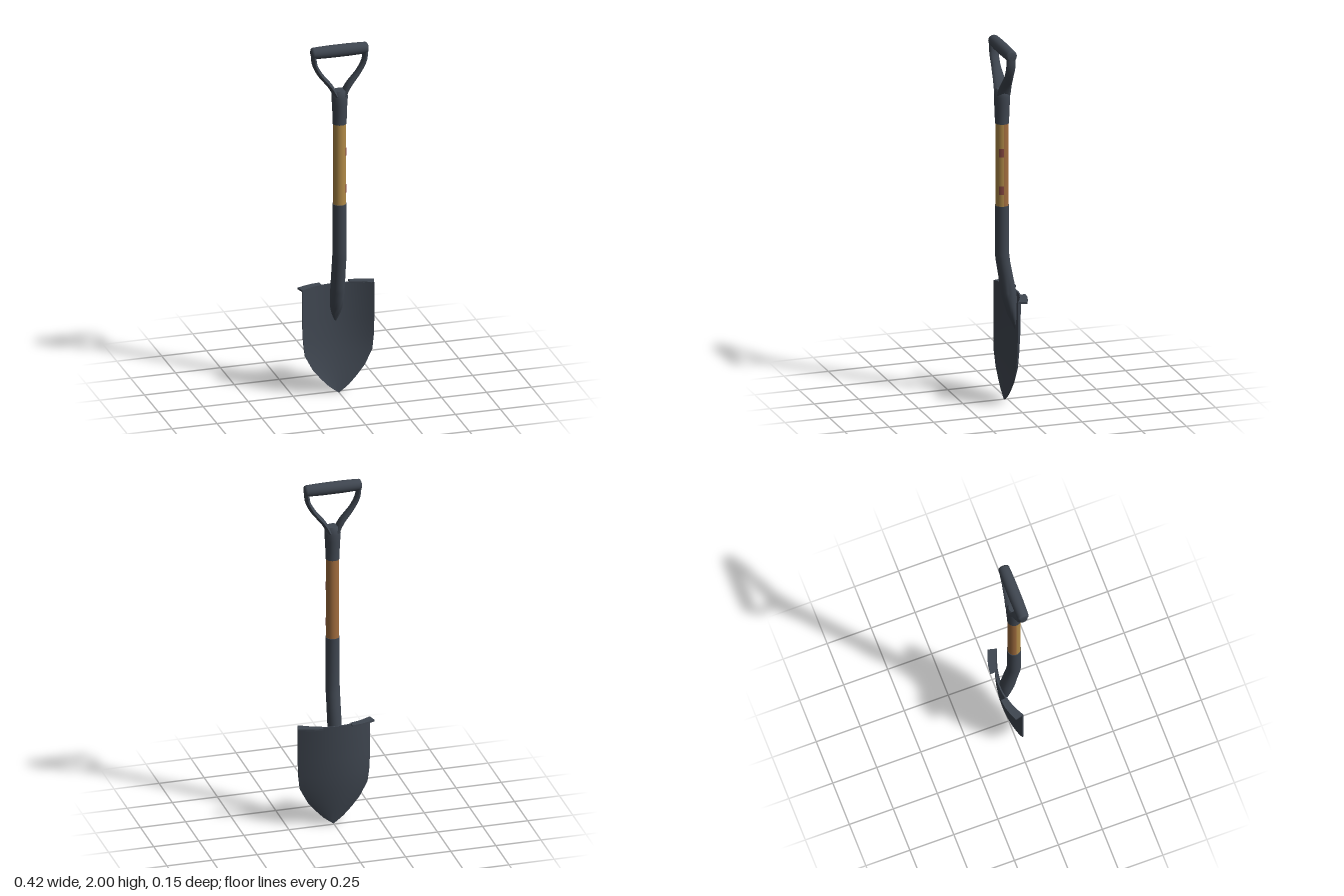
import * as THREE from 'three';
import { toCreasedNormals } from 'three/addons/utils/BufferGeometryUtils.js';

const SHAFT_Z = 0.03;

// Piecewise linear lookup in rows sorted by falling first value
function sample(rows, y) {
  let i = 0;
  while (i < rows.length - 2 && y < rows[i + 1][0]) i++;
  const a = rows[i], b = rows[i + 1];
  const t = (y - a[0]) / (b[0] - a[0]);
  return a.map((v, k) => v + (b[k] - v) * t);
}

// Moves every vertex by a rule, then smooths all but sharp edges
function reshape(geometry, rule) {
  const p = geometry.attributes.position;
  for (let i = 0; i < p.count; i++) p.setXYZ(i, ...rule(p.getX(i), p.getY(i), p.getZ(i)));
  return toCreasedNormals(geometry, 0.7);
}

// Elliptical rings [y, centre z, radius x, radius z], from top to bottom
function loft(rings) {
  const n = rings.length - 1;
  return reshape(new THREE.CylinderGeometry(1, 1, 1, 20, n), (x, y, z) => {
    const [ry, cz, rx, rz] = rings[Math.round((0.5 - y) * n)];
    return [x * rx, ry, cz + z * rz];
  });
}

export function createModel() {
  const model = new THREE.Group();
  const material = (name, color) => new THREE.MeshStandardMaterial({ name, color });
  const steel = material('dark steel', 0x3f4650);
  const wood = material('brown wood', 0xa06c3e);
  const paleWood = material('golden wood', 0xb08a48);
  const red = material('dull red', 0x884840);

  const add = (name, geometry, mat) => {
    const mesh = new THREE.Mesh(geometry, mat);
    mesh.name = name;
    model.add(mesh);
    return mesh;
  };

  // Blade: dished sheet, rows are [y, half width, centre z, edge z]
  const blade = [
    [0.6, 0.2, -0.054, 0.005], [0.4, 0.2, -0.046, 0.005], [0.3, 0.196, -0.038, 0.007],
    [0.225, 0.187, -0.029, 0.01], [0.14, 0.143, -0.014, 0.013], [0.085, 0.098, -0.003, 0.014],
    [0.04, 0.055, 0.007, 0.015], [0.015, 0.023, 0.012, 0.015], [0, 0.002, 0.015, 0.015],
  ];
  const rows = blade.length - 1;
  add('blade', reshape(new THREE.BoxGeometry(2, 1, 1, 16, rows, 1), (u, v, s) => {
    const [y, w, zc, ze] = blade[Math.round((0.5 - v) * rows)];
    return [u * w, y, zc + (ze - zc) * u * u + s * 0.008];
  }), steel);

  // Foot treads folded back from the top of the blade
  const tread = [[0.08, -0.04], [0.08, -0.075], [0.13, -0.069], [0.17, -0.057],
    [0.212, -0.04], [0.2, 0.008], [0.14, -0.023]];
  for (const side of [1, -1]) {
    const shape = new THREE.Shape(tread.map(([x, z]) => new THREE.Vector2(side * x, z)));
    const geometry = new THREE.ExtrudeGeometry(shape, { depth: 0.01, bevelEnabled: false });
    geometry.rotateX(Math.PI / 2).translate(0, 0.604, 0);
    add(side > 0 ? 'leftTread' : 'rightTread', geometry, steel);
  }

  // Steel socket: straight at the top, cranked back and tapering into the blade
  add('socket', loft([
    [1.09, SHAFT_Z, 0.038, 0.038], [0.82, SHAFT_Z, 0.038, 0.038], [0.77, 0.024, 0.038, 0.038],
    [0.7, 0.011, 0.038, 0.039], [0.6, -0.006, 0.038, 0.042], [0.57, -0.011, 0.038, 0.041],
    [0.52, -0.019, 0.037, 0.032], [0.47, -0.027, 0.034, 0.025], [0.43, -0.036, 0.023, 0.012],
    [0.385, -0.045, 0.003, 0.003],
  ]), steel);

  // Wooden shaft: golden front half and brown back half
  const half = (start, length, height, r) =>
    new THREE.CylinderGeometry(r, r, height, 14, 1, true, start, length);
  const shaft = (name, start, mat) =>
    add(name, half(start, Math.PI, 0.48, 0.035), mat).position.set(0, 1.32, SHAFT_Z);
  shaft('shaftFront', -Math.PI / 2, paleWood);
  shaft('shaftBack', Math.PI / 2, wood);

  // Painted marks on the left of the shaft
  for (const y of [1.39, 1.18]) {
    add('shaftMark', half(Math.PI * 0.25, Math.PI * 0.25, 0.048, 0.0362), red)
      .position.set(0, y, SHAFT_Z);
  }

  // Yoke neck
  add('yokeNeck', loft([
    [1.742, SHAFT_Z, 0.034, 0.03], [1.73, SHAFT_Z, 0.043, 0.038], [1.7, SHAFT_Z, 0.044, 0.043],
    [1.66, SHAFT_Z, 0.041, 0.042], [1.6, SHAFT_Z, 0.038, 0.039], [1.55, SHAFT_Z, 0.038, 0.038],
  ]), steel);

  // Yoke arms: curved bars, deeper near the neck
  const depth = [[1.97, 0.026], [1.84, 0.026], [1.76, 0.035], [1.7, 0.04]];
  const arm = [[0.02, 1.71], [0.05, 1.765], [0.108, 1.84], [0.138, 1.9], [0.145, 1.965]];
  for (const side of [1, -1]) {
    const path = new THREE.CatmullRomCurve3(arm.map(([x, y]) => new THREE.Vector3(side * x, y, 0)));
    const geometry = reshape(new THREE.TubeGeometry(path, 20, 0.0135, 12), (x, y, z) =>
      [x, y, SHAFT_Z - 0.002 + z / 0.0135 * sample(depth, y)[1]]);
    add(side > 0 ? 'leftArm' : 'rightArm', geometry, steel);
  }

  // Grip: rounded bar across the top
  const end = [[0, 0.157], [0.02, 0.157], [0.028, 0.153], [0.031, 0.145], [0.0325, 0.11], [0.034, 0.05]];
  const profile = [...end.map(([r, h]) => [r, -h]), ...end.slice().reverse()];
  const grip = new THREE.LatheGeometry(profile.map(([r, h]) => new THREE.Vector2(r, h)), 20);
  grip.rotateZ(Math.PI / 2);
  add('grip', grip, steel).position.set(0, 1.966, SHAFT_Z - 0.003);

  return model;
}
